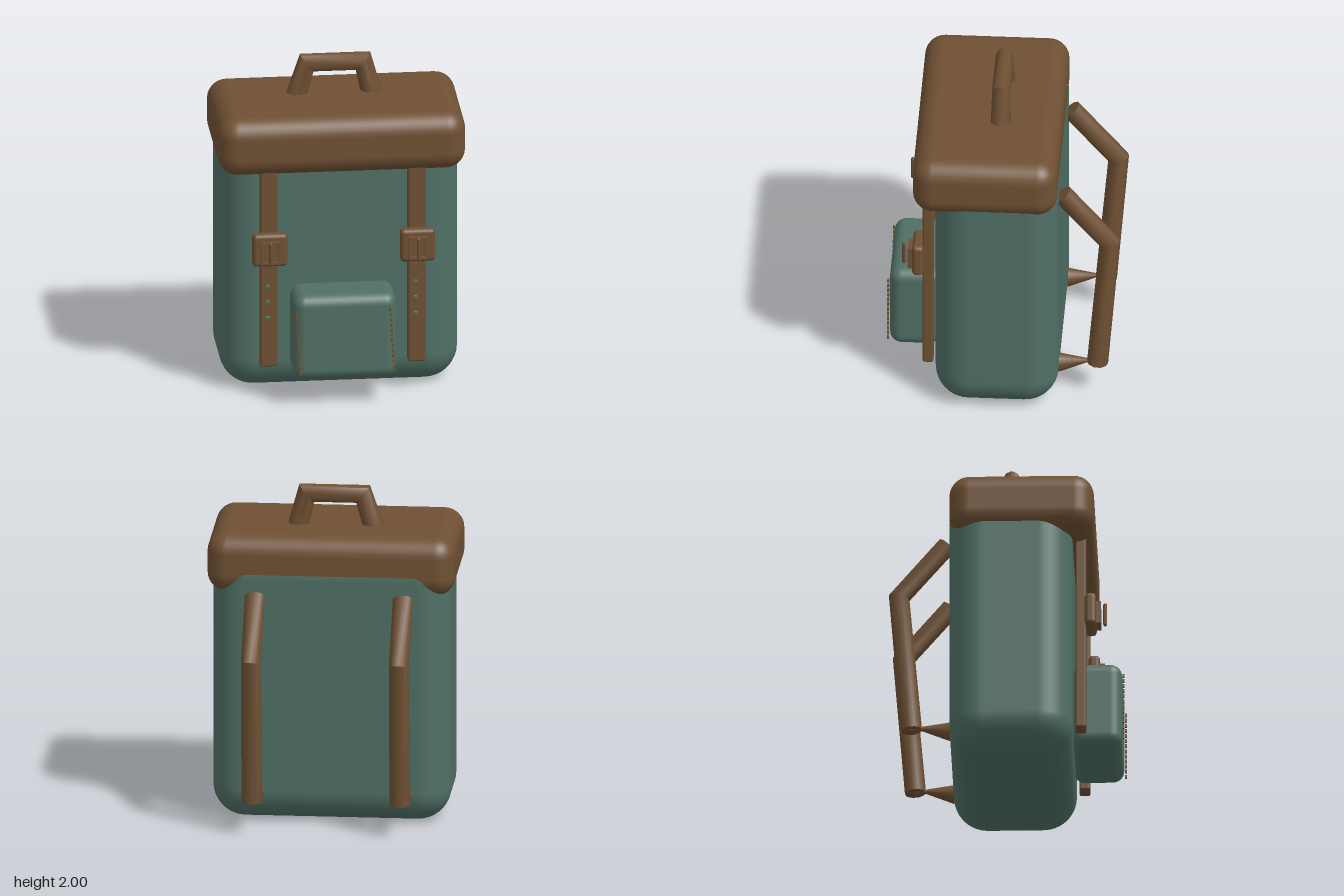
import * as THREE from 'three';
import { toCreasedNormals } from 'three/addons/utils/BufferGeometryUtils.js';
import { RoundedBoxGeometry } from 'three/addons/geometries/RoundedBoxGeometry.js';

const canvas = new THREE.MeshStandardMaterial({ name: 'canvas green', color: 0x507065 });
const leather = new THREE.MeshStandardMaterial({ name: 'leather brown', color: 0x6f5033 });

function mesh(name, geometry, material, x = 0, y = 0, z = 0) {
  const m = new THREE.Mesh(geometry, material);
  m.name = name;
  m.position.set(x, y, z);
  return m;
}

// Rounded box given by its minimum and maximum corners
function block(name, material, min, max, radius, segments = 3) {
  const size = max.map((v, i) => v - min[i]);
  const mid = max.map((v, i) => (v + min[i]) / 2);
  return mesh(name, new RoundedBoxGeometry(...size, segments, radius), material, ...mid);
}

// Round bar with mitred bends along a planar path; plane normal is `side`
function mitredBar(path, radii, side, sides = 10) {
  const pts = path.map((p) => new THREE.Vector3(...p));
  const dirs = pts.slice(1).map((p, i) => p.clone().sub(pts[i]).normalize());
  const positions = [], index = [];
  pts.forEach((p, i) => {
    const a = new THREE.Vector3().crossVectors(side, dirs[Math.max(i - 1, 0)]);
    const b = new THREE.Vector3().crossVectors(side, dirs[Math.min(i, dirs.length - 1)]);
    const mitre = a.clone().add(b).divideScalar(1 + a.dot(b));
    for (let k = 0; k < sides; k++) {
      const t = (k / sides) * Math.PI * 2;
      const v = p.clone()
        .addScaledVector(mitre, radii[i] * Math.cos(t))
        .addScaledVector(side, radii[i] * Math.sin(t));
      positions.push(v.x, v.y, v.z);
    }
  });
  for (let i = 0; i < pts.length - 1; i++) {
    for (let k = 0; k < sides; k++) {
      const n = (k + 1) % sides;
      const a = i * sides + k, b = i * sides + n;
      index.push(a, b, b + sides, a, b + sides, a + sides);
    }
  }
  // End caps
  const last = (pts.length - 1) * sides;
  for (let k = 1; k < sides - 1; k++) {
    index.push(0, k + 1, k, last, last + k, last + k + 1);
  }
  const g = new THREE.BufferGeometry();
  g.setAttribute('position', new THREE.Float32BufferAttribute(positions, 3));
  g.setIndex(index);
  return toCreasedNormals(g, 0.7);
}

// Front strap with its buckle and holes
function frontStrap(name, x) {
  const g = new THREE.Group();
  g.name = name;
  g.add(block('strap', leather, [x - 0.054, 0.19, 0.41], [x + 0.054, 1.46, 0.475], 0.012, 2));
  g.add(block('bucklePlate', leather, [x - 0.104, 0.845, 0.467], [x + 0.104, 1.05, 0.535], 0.025));

  const w = 0.057, h = 0.07, t = 0.012;
  const ring = new THREE.Shape([[-w, -h], [w, -h], [w, h], [-w, h]].map((p) => new THREE.Vector2(...p)));
  ring.holes.push(new THREE.Path(
    [[t - w, t - h], [t - w, h - t], [w - t, h - t], [w - t, t - h]].map((p) => new THREE.Vector2(...p))));
  const ringGeometry = new THREE.ExtrudeGeometry(ring, { depth: 0.035, bevelEnabled: false });
  g.add(mesh('buckleRing', ringGeometry, leather, x, 0.94, 0.527));

  g.add(mesh('bucklePin', new THREE.CapsuleGeometry(0.012, 0.125, 3, 8), leather, x, 0.945, 0.587));
  for (const y of [0.5, 0.6, 0.7]) {
    const hole = mesh('strapHole', new THREE.SphereGeometry(0.015, 10, 6), canvas, x - 0.01, y, 0.474);
    hole.scale.z = 0.3;
    g.add(hole);
  }
  return g;
}

// Shoulder strap with a pinched, flared lower anchor
function shoulderStrap(name, x) {
  const g = new THREE.Group();
  g.name = name;
  const side = new THREE.Vector3(1, 0, 0);
  g.add(mesh('strapBar', mitredBar(
    [[x, 1.407, -0.356], [x, 1.07, -0.638], [x, 0.2, -0.565]], [0.061, 0.06, 0.063], side), leather));
  g.add(mesh('strapAnchor', mitredBar(
    [[x, 0.212, -0.58], [x, 0.21, -0.5], [x, 0.19, -0.33]], [0.03, 0.014, 0.058], side), leather));
  return g;
}

export function createModel() {
  const model = new THREE.Group();
  model.name = 'backpack';

  // Bag and lid
  model.add(block('body', canvas, [-0.71, 0, -0.338], [0.712, 1.7, 0.395], 0.2, 5));
  model.add(block('lid', leather, [-0.74, 1.4, -0.335], [0.74, 1.762, 0.525], 0.12, 4));

  // Top handle
  model.add(mesh('handle', mitredBar(
    [[-0.235, 1.73, 0.025], [-0.168, 1.945, 0.025], [0.168, 1.945, 0.025], [0.222, 1.73, 0.025]],
    [0.063, 0.056, 0.056, 0.063], new THREE.Vector3(0, 0, 1)), leather));

  // Front pocket with a slanted row of stitches down each side
  model.add(block('pocket', canvas, [-0.311, 0.165, 0.38], [0.306, 0.7, 0.683], 0.07, 4));
  const stitch = new THREE.BoxGeometry(0.014, 0.02, 0.012);
  for (const top of [-0.295, 0.265]) {
    for (let i = 0; i < 13; i++) {
      const t = i / 12;
      model.add(mesh('stitch', stitch, leather, top + 0.024 * t, 0.61 - 0.39 * t, 0.692));
    }
  }

  for (const [label, x] of [['left', 0.446], ['right', -0.437]]) {
    model.add(frontStrap(label + 'FrontStrap', x));
    model.add(shoulderStrap(label + 'ShoulderStrap', x));
  }
  return model;
}
